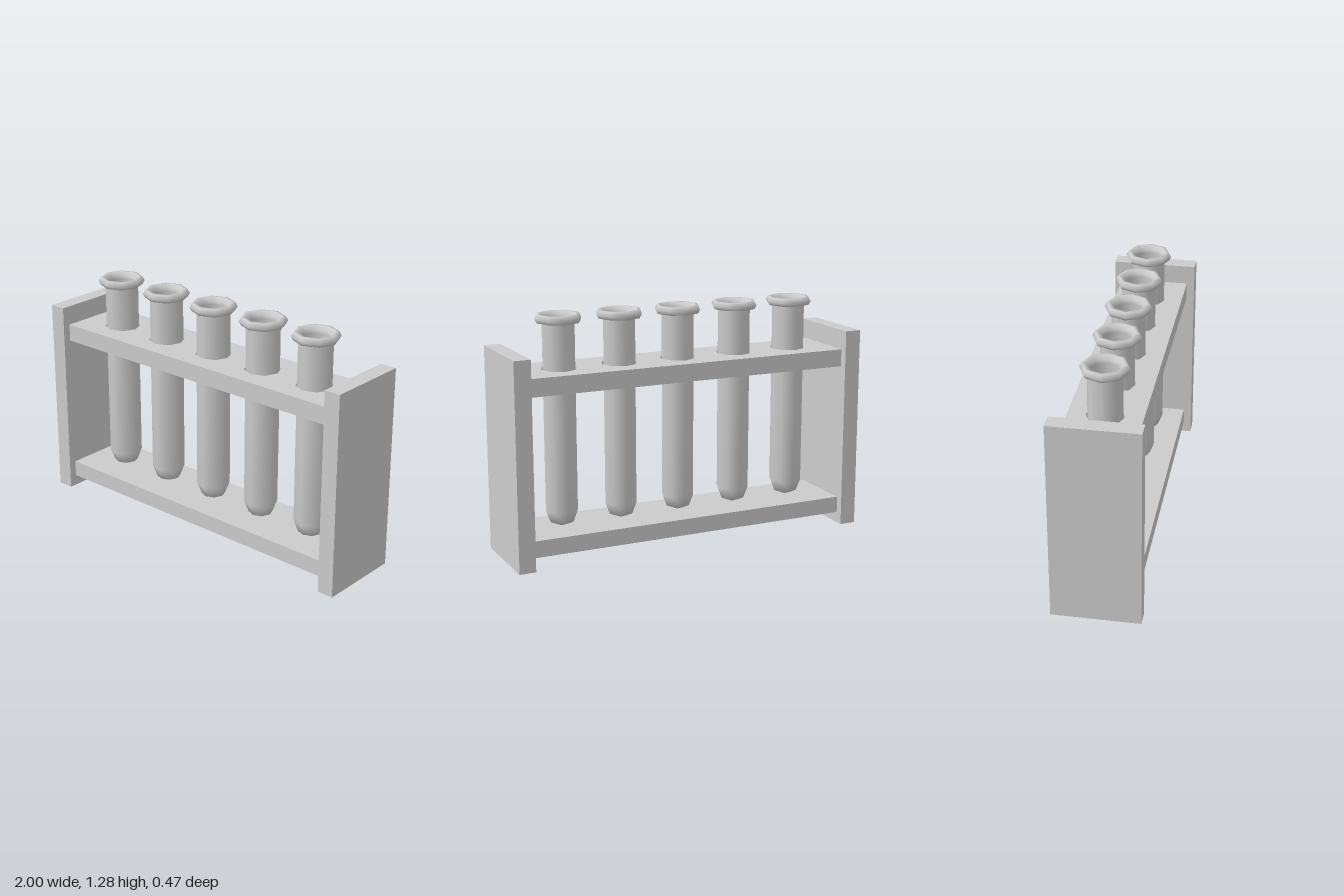
import * as THREE from 'three';

const SIDES = 8;
const TUBE_X = [-2, -1, 0, 1, 2].map((i) => i * 0.338);
const grey = new THREE.MeshStandardMaterial({ color: 0xcccccc });

function addMesh(parent, name, geometry) {
  const mesh = new THREE.Mesh(geometry, grey);
  mesh.name = name;
  parent.add(mesh);
  return mesh;
}

// Eight-sided turned surface from [radius, height] pairs
function turned(points) {
  return new THREE.LatheGeometry(points.map(([r, y]) => new THREE.Vector2(r, y)), SIDES);
}

// Upper shelf: a board pierced by one hole per tube
function piercedShelf() {
  const w = 0.91, d = 0.19;
  const shape = new THREE.Shape([
    new THREE.Vector2(-w, -d), new THREE.Vector2(w, -d),
    new THREE.Vector2(w, d), new THREE.Vector2(-w, d),
  ]);
  for (const x of TUBE_X) {
    const hole = [];
    for (let i = 0; i < SIDES; i++) {
      const a = (-i / SIDES) * Math.PI * 2;
      hole.push(new THREE.Vector2(x + 0.098 * Math.cos(a), 0.098 * Math.sin(a)));
    }
    shape.holes.push(new THREE.Path(hole));
  }
  return new THREE.ExtrudeGeometry(shape, { depth: 0.095, bevelEnabled: false }).rotateX(-Math.PI / 2);
}

// Hollow tube with a rounded foot and a flared lip
function testTube() {
  const tube = new THREE.Group();
  tube.name = 'testTube';
  addMesh(tube, 'outerWall', turned([[0, 0.15], [0.065, 0.176], [0.09, 0.24], [0.09, 0.7], [0.09, 1.245]]));
  addMesh(tube, 'lip', turned([
    [0.08, 1.245], [0.09, 1.24], [0.115, 1.24], [0.127, 1.26],
    [0.115, 1.283], [0.098, 1.283], [0.08, 1.262], [0.08, 1.245],
  ]));
  addMesh(tube, 'innerWall', turned([[0.08, 1.25], [0.08, 0.7], [0.08, 0.245], [0.055, 0.188], [0, 0.165]]));
  return tube;
}

export function createModel() {
  const model = new THREE.Group();
  model.name = 'testTubeRack';

  // End panels
  for (const side of [-1, 1]) {
    const panel = addMesh(model, side > 0 ? 'leftPanel' : 'rightPanel', new THREE.BoxGeometry(0.09, 1.105, 0.466));
    panel.position.set(side * 0.955, 0.5525, 0);
  }

  // Shelves
  addMesh(model, 'lowerShelf', new THREE.BoxGeometry(1.82, 0.09, 0.38)).position.y = 0.105;
  addMesh(model, 'upperShelf', piercedShelf()).position.y = 0.903;

  // Row of tubes
  for (const x of TUBE_X) {
    const tube = testTube();
    tube.position.x = x;
    model.add(tube);
  }
  return model;
}
